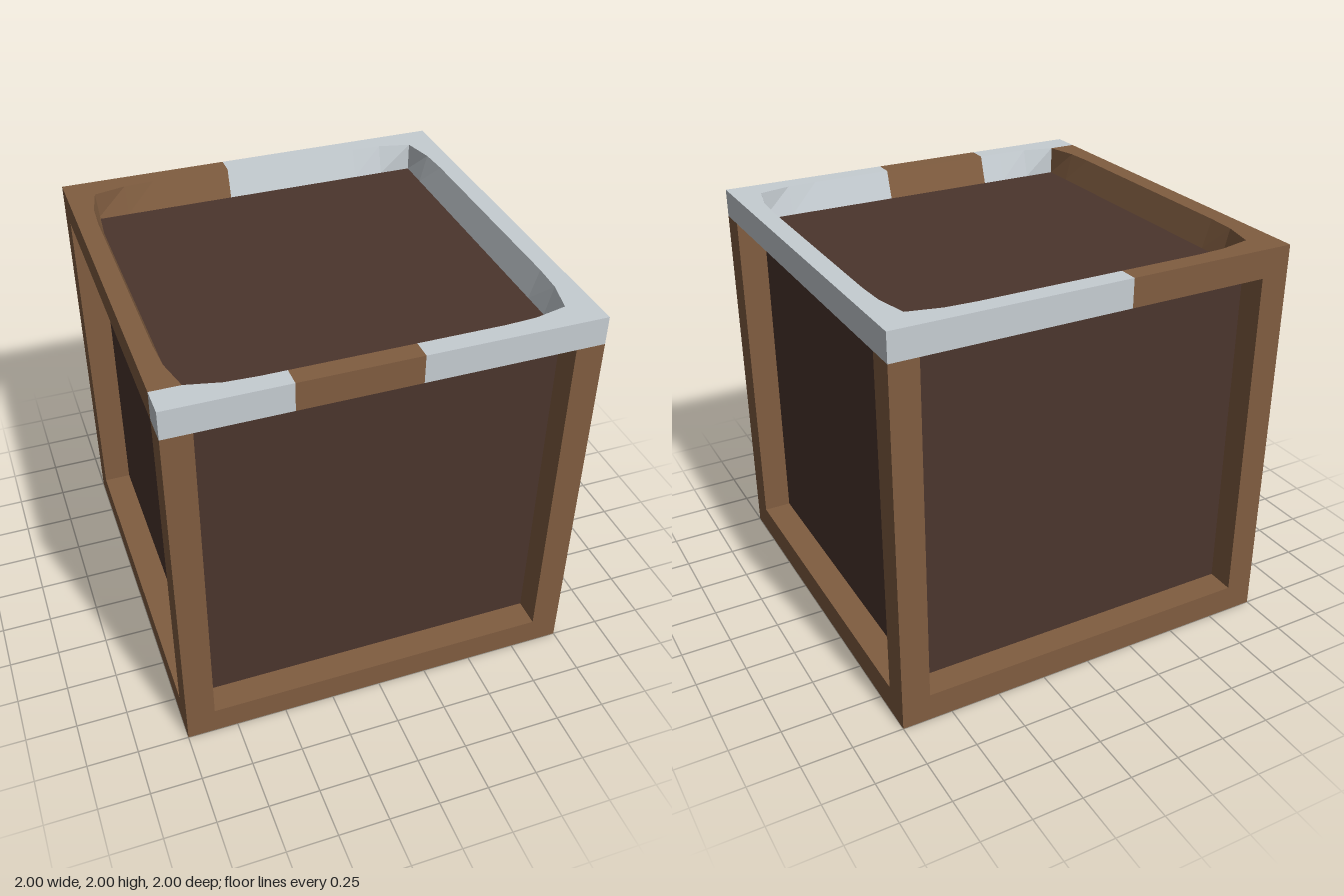
import * as THREE from 'three';

const INNER = 0.86;           // half size of the recessed core
const THICK = 1 - INNER;      // thickness of the frame
// half width of the opening along a rim: [position, inner edge]
const EDGE = [[0, 0.905], [0.55, 0.905], [0.7, 0.897], [INNER, INNER], [1, INNER]];

function innerEdge(t) {
  const a = Math.abs(t);
  for (let i = 1; i < EDGE.length; i++) {
    const [t0, e0] = EDGE[i - 1], [t1, e1] = EDGE[i];
    if (a <= t1) return e0 + (e1 - e0) * (a - t0) / (t1 - t0);
  }
  return INNER;
}

// Rim beam along x from t0 to t1, its upper inner edge following the opening
function beamGeometry(t0, t1) {
  const breaks = [-INNER, -0.7, -0.55, 0.55, 0.7, INNER].filter(t => t > t0 && t < t1);
  const ts = [t0, ...breaks, t1];
  const n = ts.length - 1;
  const box = new THREE.BoxGeometry(1, 1, 1, n, 1, 1);
  const p = box.attributes.position;
  for (let i = 0; i < p.count; i++) {
    const t = ts[Math.round((p.getX(i) + 0.5) * n)];
    const top = p.getY(i) > 0, outer = p.getZ(i) > 0;
    p.setXYZ(i, t, top ? 1 : INNER, outer ? 1 : top ? innerEdge(t) : INNER);
  }
  const geometry = box.toNonIndexed();
  geometry.computeVertexNormals();
  return geometry;
}

export function createModel() {
  const wood = new THREE.MeshStandardMaterial({ color: 0x805d40 });
  wood.name = 'wood';
  const panel = new THREE.MeshStandardMaterial({ color: 0x4b352d });
  panel.name = 'dark panel';
  const metal = new THREE.MeshStandardMaterial({ color: 0xc6cdd2 });
  metal.name = 'pale grey';

  const model = new THREE.Group();
  model.name = 'crate';
  const add = (parent, name, geometry, material) => {
    const mesh = new THREE.Mesh(geometry, material);
    mesh.name = name;
    parent.add(mesh);
    return mesh;
  };

  // Recessed panels: one solid core
  const core = 2 * INNER;
  add(model, 'panels', new THREE.BoxGeometry(core, core, core), panel).position.y = 1;

  // Corner posts
  const post = new THREE.BoxGeometry(THICK, core, THICK);
  const c = 1 - THICK / 2;
  for (const x of [-c, c]) {
    for (const z of [-c, c]) add(model, 'cornerPost', post, wood).position.set(x, 1, z);
  }

  // Rims: each side lists its pieces as [start, end, material]
  const rim = (name, sides) => {
    const group = new THREE.Group();
    group.name = name;
    group.position.y = 1;
    sides.forEach((pieces, k) => {
      for (const [t0, t1, material] of pieces) {
        add(group, 'rimBeam', beamGeometry(t0, t1), material).rotation.y = k * Math.PI / 2;
      }
    });
    model.add(group);
    return group;
  };
  rim('topRim', [
    [[-1, -0.43, metal], [-0.43, 0.14, wood], [0.14, 1, metal]],  // front
    [[-INNER, INNER, metal]],                                     // left (+x)
    [[-1, 0.15, metal], [0.15, 1, wood]],                         // back
    [[-INNER, INNER, wood]],                                      // right (-x)
  ]);
  const full = [[-1, 1, wood]], between = [[-INNER, INNER, wood]];
  rim('bottomRim', [full, between, full, between]).rotation.z = Math.PI;

  return model;
}
